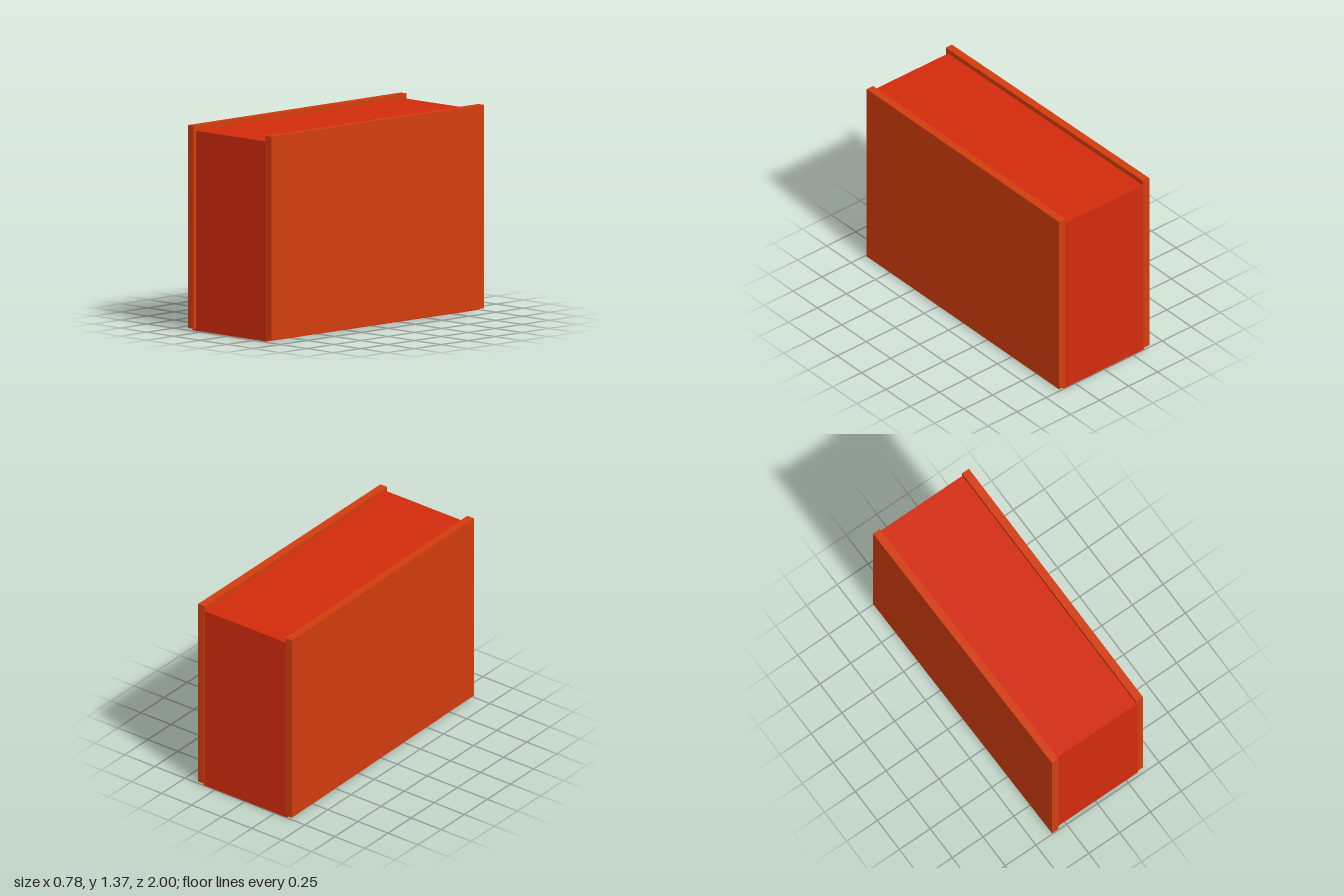
import * as THREE from 'three';

export function createModel() {
  const model = new THREE.Group();
  const red = new THREE.MeshStandardMaterial({ color: 0xd42b0d });
  const orange = new THREE.MeshStandardMaterial({ color: 0xd43d0d });

  function addBox(name, material, size, position, turn = 0) {
    const mesh = new THREE.Mesh(new THREE.BoxGeometry(...size), material);
    mesh.name = name;
    mesh.position.set(...position);
    mesh.rotation.y = turn;
    model.add(mesh);
  }

  // Solid inner block, slightly lower than the covers
  addBox('innerBlock', red, [0.693, 1.335, 1.972], [-0.0015, 0.6675, -0.01]);

  // Cover boards on both sides; the right one sits slightly askew
  addBox('leftCover', orange, [0.055, 1.357, 1.972], [0.361, 0.6935, -0.014]);
  addBox('rightCover', orange, [0.054, 1.355, 1.997], [-0.3525, 0.6925, 0], 0.011);

  return model;
}
